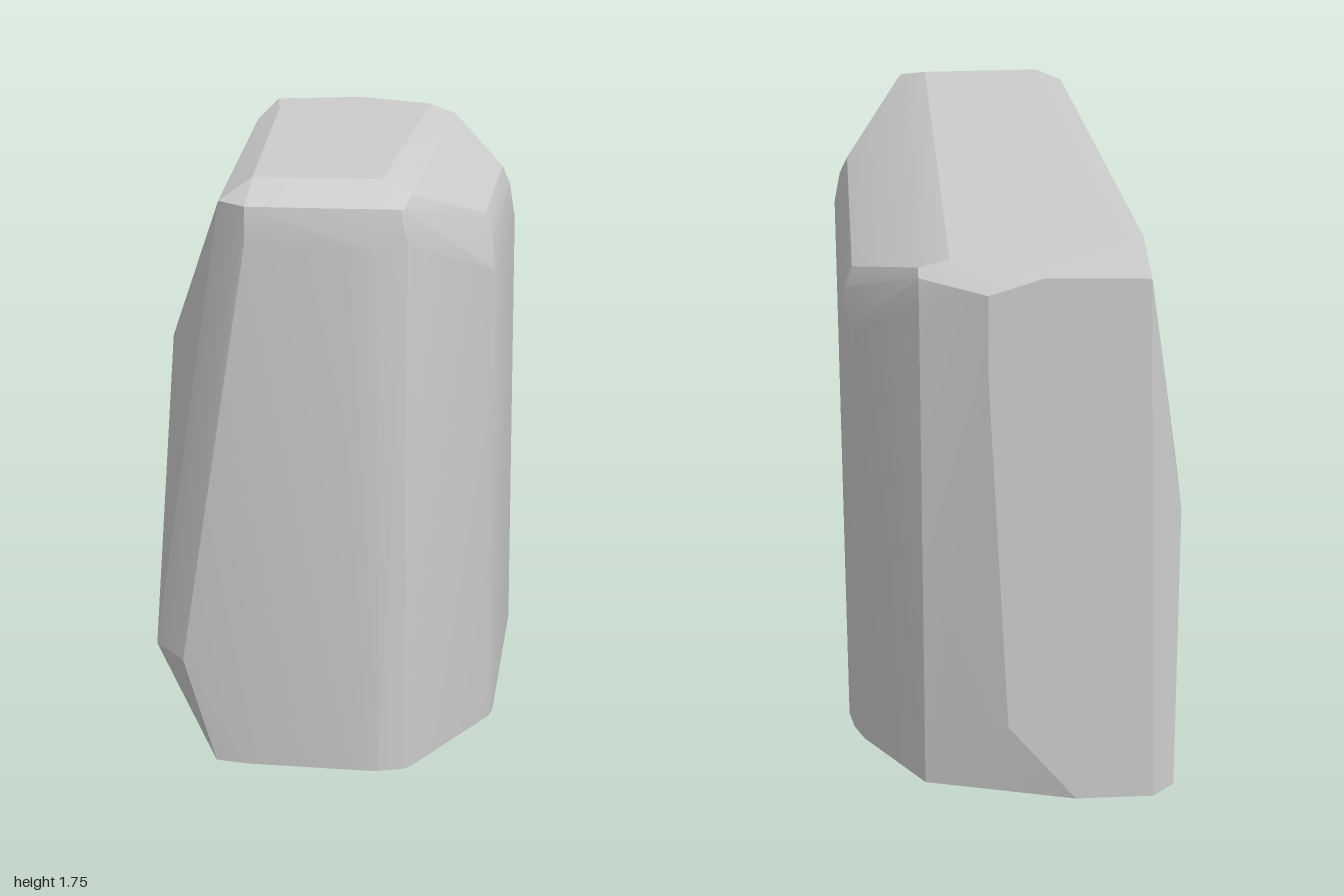
import * as THREE from 'three';
import { toCreasedNormals } from 'three/addons/utils/BufferGeometryUtils.js';
import { ConvexGeometry } from 'three/addons/geometries/ConvexGeometry.js';

export function createModel() {
  const model = new THREE.Group();
  const stone = new THREE.MeshStandardMaterial({ color: 0xcccccc });
  const points = [];
  const add = (x, y, z) => points.push(new THREE.Vector3(x, y, z));

  // Straight right wall: plan corner [x, z] and the height it rises to
  for (const [x, z, top] of [
    [0.27, 0.97, 1.6], [0.29, 0.94, 1.58], [0.46, 0.57, 1.45], [0.49, 0.51, 1.43], [0.5, 0.46, 1.42],
    [0.5, -0.47, 1.42], [0.485, -0.55, 1.43], [0.455, -0.62, 1.45], [0.27, -0.88, 1.62],
  ]) {
    add(x, 0, z);
    add(x, top, z);
  }

  // Front face, leaning back slightly
  for (const [x, z] of [[0.19, 1], [0.1, 0.998], [-0.2, 0.985]]) {
    add(x, 0, z);
    add(x, 1.58, z - 0.015);
  }
  add(-0.3, 0, 0.965);
  add(-0.4, 0.31, 0.955);
  for (const x of [-0.2, 0.25]) add(x, 1.69, 0.96);
  add(-0.29, 1.69, 0.87);

  // Left face: chipped low at the front, chamfered high along the top
  add(-0.5, 0.32, 0.84);
  add(-0.5, 0, -0.3);
  add(-0.5, 1.2, 0.48);
  add(-0.5, 1.24, -0.3);
  add(-0.5, 1.04, -0.75);
  add(-0.5, 0.95, -0.9);
  add(-0.5, 0, -0.94);

  // Flat back face
  for (const [x, y] of [[-0.43, 0], [-0.19, 0], [0.02, 0.27], [0.08, 1.45], [0.08, 1.7], [-0.08, 1.75], [-0.38, 1.74]]) {
    add(x, y, -1);
  }

  // Flat top and the sloping bevel on its right
  for (const [x, y, z] of [
    [-0.4, 1.715, -0.63], [-0.33, 1.75, -0.67], [-0.2, 1.75, 0.8], [0.18, 1.75, 0.8], [0.18, 1.75, -0.85],
    [0.27, 1.715, 0.85], [0.27, 1.72, -0.83], [0.26, 1.69, 0.95], [0.27, 1.7, -0.86],
    [0.455, 1.59, 0.42], [0.455, 1.59, -0.5], [0.48, 1.53, 0.44], [0.48, 1.53, -0.51],
  ]) add(x, y, z);

  // Soften only the shallow edges
  const boulder = new THREE.Mesh(toCreasedNormals(new ConvexGeometry(points), 0.3), stone);
  boulder.name = 'boulder';
  model.add(boulder);
  return model;
}
